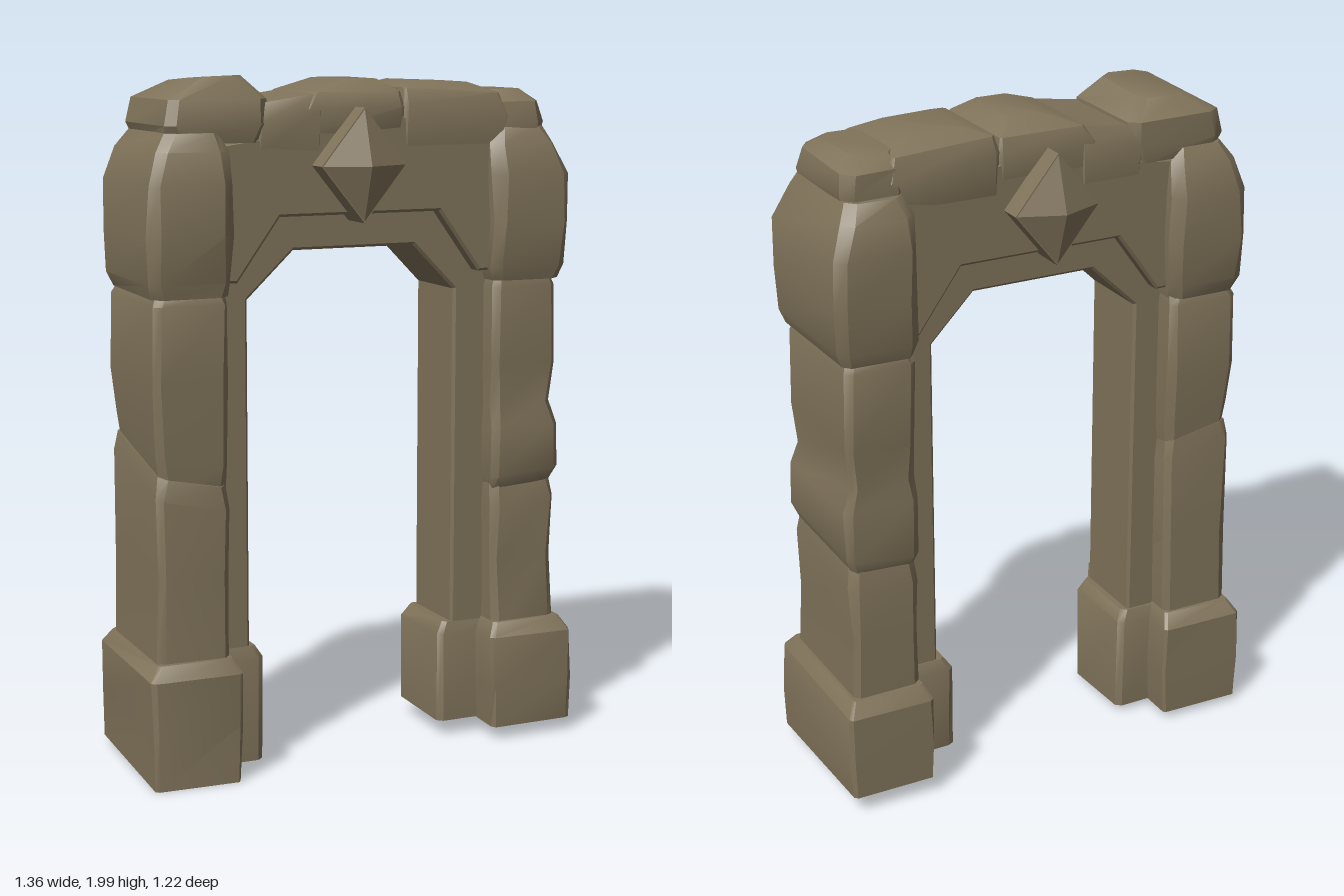
import * as THREE from 'three';
import { toCreasedNormals } from 'three/addons/utils/BufferGeometryUtils.js';

const stone = new THREE.MeshStandardMaterial({ color: 0x80735a });
stone.name = 'brown stone';

let seed = 7;
function jitter(a) {
  seed = (seed * 16807) % 2147483647;
  return (seed / 2147483647 - 0.5) * 2 * a;
}

function part(name, geometry, crease = 0.6) {
  const mesh = new THREE.Mesh(toCreasedNormals(geometry, crease), stone);
  mesh.name = name;
  return mesh;
}

// Worn block lofted through chamfered rectangles.
// level: [y, x0, x1, z0, z1, slope along x, slope along z]
function rock(name, levels, c = 0.02, wear = 0.004) {
  const pos = [], idx = [], n = 8;
  for (const [y, x0, x1, z0, z1, sx = 0, sz = 0] of levels) {
    const ring = [[x1, z1 - c], [x1, z0 + c], [x1 - c, z0], [x0 + c, z0],
      [x0, z0 + c], [x0, z1 - c], [x0 + c, z1], [x1 - c, z1]];
    const cx = (x0 + x1) / 2;
    for (const [x, z] of ring) {
      pos.push(x + jitter(wear), y + sx * (x - cx) + sz * z, z + jitter(wear));
    }
  }
  const last = (levels.length - 1) * n;
  for (let l = 0; l < last; l += n) {
    for (let i = 0; i < n; i++) {
      const j = (i + 1) % n;
      idx.push(l + i, l + j, l + n + j, l + i, l + n + j, l + n + i);
    }
  }
  for (let i = 1; i < n - 1; i++) {
    idx.push(0, i + 1, i, last, last + i, last + i + 1);
  }
  const g = new THREE.BufferGeometry();
  g.setAttribute('position', new THREE.Float32BufferAttribute(pos, 3));
  g.setIndex(idx);
  return part(name, g);
}

// Outline in x/y, extruded evenly to both sides of z = 0
function slab(name, points, halfDepth) {
  const shape = new THREE.Shape(points.map(([x, y]) => new THREE.Vector2(x, y)));
  const bevel = 0.008;
  const g = new THREE.ExtrudeGeometry(shape, {
    depth: 2 * (halfDepth - bevel), bevelEnabled: true, bevelThickness: bevel,
    bevelSize: bevel, bevelOffset: -bevel, bevelSegments: 1
  });
  g.translate(0, 0, -halfDepth + bevel);
  return part(name, g, 0.4);
}

// Diamond boss: square rim with a low pyramid in front
function diamond(name) {
  const group = new THREE.Group();
  group.name = name;
  const rim = new THREE.CylinderGeometry(0.15, 0.15, 0.11, 4).rotateX(Math.PI / 2);
  const tip = new THREE.CylinderGeometry(0, 0.145, 0.05, 4).rotateX(Math.PI / 2);
  rim.scale(0.88, 1.08, 1).translate(0, 0, 0.18);
  tip.scale(0.88, 1.08, 1).translate(0, 0, 0.26);
  group.add(part('diamondRim', rim, 0.3), part('diamondPoint', tip, 0.3));
  return group;
}

export function createModel() {
  const model = new THREE.Group();
  model.name = 'stoneArch';
  const arch = new THREE.Group();
  arch.name = 'arch';
  arch.rotation.y = 0.642;
  model.add(arch);

  // Inner frame following the opening
  arch.add(slab('innerFrame', [[0.19, 1.5], [0.322, 1.365], [0.322, 0.3], [0.46, 0.3], [0.46, 1.64],
    [-0.46, 1.64], [-0.46, 0.3], [-0.333, 0.3], [-0.333, 1.365], [-0.19, 1.5]], 0.12));

  // Lintel with a stepped, chamfered underside
  arch.add(slab('lintel', [[-0.25, 1.6], [0.25, 1.6], [0.38, 1.42], [0.48, 1.42], [0.48, 1.8],
    [0.27, 1.83], [0.1, 1.89], [-0.1, 1.89], [-0.27, 1.83], [-0.48, 1.8], [-0.48, 1.42], [-0.38, 1.42]], 0.167));

  // Piers: the two stand slightly out of line with each other
  const piers = [-1, 1].map((s) => {
    const pier = new THREE.Group();
    pier.name = s < 0 ? 'rightHandPier' : 'leftHandPier';
    pier.rotation.y = s < 0 ? -0.03 : 0;
    pier.position.z = s < 0 ? 0.024 : -0.015;
    arch.add(pier);

    const span = (a, b) => (s > 0 ? [a, b] : [-b, -a]);
    const foot = s < 0 ? 0.014 : 0.05;
    const tilt = s < 0 ? -0.045 : -0.03;
    pier.add(rock('outerFooting', [
      [foot, ...span(0.41, 0.67), -0.253, 0.253, 0, tilt],
      [0.17, ...span(0.405, 0.673), -0.256, 0.256],
      [0.32, ...span(0.405, 0.673), -0.254, 0.254],
      [0.36, ...span(0.425, 0.645), -0.222, 0.222]], 0.01));
    const inner = s < 0 ? 0.297 : 0.278;
    arch.add(rock('innerFooting', [
      [foot + 0.002, ...span(inner, 0.5), -0.138, 0.13, 0, tilt],
      [0.32, ...span(inner - 0.002, 0.5), -0.14, 0.132],
      [0.355, ...span(inner + 0.02, 0.5), -0.125, 0.122]], 0.015, 0.003));

    // Capital blocks, rounded off towards the top
    pier.add(rock('capital', [
      [1.39, ...span(0.42, 0.637), -0.212, 0.212],
      [1.43, ...span(0.412, 0.65), -0.225, 0.225],
      [1.56, ...span(0.412, 0.658), -0.235, 0.235],
      [1.7, ...span(0.412, 0.655), -0.235, 0.235],
      [1.79, ...span(0.415, 0.625), -0.212, 0.212],
      [1.84, ...span(0.43, 0.595), -0.185, 0.185]], 0.028, 0.006));
    return pier;
  });

  // Shaft of two stones meeting on a slanted crack
  piers[0].add(rock('lowerShaft', [
    [0.33, -0.64, -0.425, -0.21, 0.21],
    [0.6, -0.635, -0.425, -0.208, 0.208],
    [0.85, -0.642, -0.42, -0.21, 0.212, -0.2, -0.2],
    [0.91, -0.625, -0.43, -0.2, 0.2, -0.2, -0.2]]));
  piers[0].add(rock('upperShaft', [
    [0.88, -0.62, -0.43, -0.195, 0.195, -0.2, -0.2],
    [0.97, -0.632, -0.425, -0.202, 0.202, -0.2, -0.2],
    [1.15, -0.642, -0.42, -0.21, 0.21],
    [1.37, -0.64, -0.42, -0.212, 0.212],
    [1.4, -0.625, -0.43, -0.2, 0.2]]));

  // Shaft with deeper wear
  piers[1].add(rock('lowerShaft', [
    [0.33, 0.425, 0.637, -0.21, 0.212],
    [0.55, 0.425, 0.63, -0.21, 0.2],
    [0.71, 0.425, 0.637, -0.21, 0.21, 0.1, 0.05],
    [0.78, 0.43, 0.625, -0.2, 0.195, 0.1, 0.05]]));
  piers[1].add(rock('upperShaft', [
    [0.76, 0.43, 0.627, -0.197, 0.2, 0.1, 0.05],
    [0.8, 0.42, 0.642, -0.21, 0.215, 0.1, 0.05],
    [0.95, 0.42, 0.642, -0.21, 0.215],
    [1.02, 0.425, 0.622, -0.2, 0.2],
    [1.14, 0.42, 0.637, -0.21, 0.208],
    [1.37, 0.42, 0.635, -0.212, 0.205],
    [1.4, 0.43, 0.62, -0.2, 0.195]]));

  // Capping stones along the top, nearly flush with the lintel
  arch.add(rock('endCap', [
    [1.81, -0.575, -0.3, -0.17, 0.175],
    [1.86, -0.59, -0.28, -0.18, 0.188],
    [1.93, -0.575, -0.28, -0.17, 0.175],
    [1.985, -0.49, -0.34, -0.11, 0.13, 0.03, 0.06]], 0.03, 0.006));
  arch.add(rock('sideCap', [
    [1.78, -0.32, -0.12, -0.168, 0.168],
    [1.88, -0.32, -0.12, -0.175, 0.175, 0.15],
    [1.93, -0.32, -0.12, -0.15, 0.15, 0.15]], 0.01, 0.003));
  arch.add(rock('middleCap', [
    [1.83, -0.17, 0.134, -0.168, 0.168],
    [1.9, -0.17, 0.134, -0.175, 0.175],
    [1.945, -0.14, 0.128, -0.16, 0.16],
    [1.98, -0.04, 0.07, -0.1, 0.12]], 0.01, 0.003));
  arch.add(rock('sideCap', [
    [1.79, 0.134, 0.46, -0.168, 0.168],
    [1.89, 0.134, 0.47, -0.175, 0.175, -0.12],
    [1.945, 0.14, 0.45, -0.155, 0.155, -0.06],
    [1.97, 0.2, 0.37, -0.1, 0.1, -0.04]], 0.01, 0.003));
  arch.add(rock('endCap', [
    [1.8, 0.42, 0.585, -0.175, 0.165],
    [1.85, 0.41, 0.6, -0.182, 0.172],
    [1.91, 0.41, 0.59, -0.17, 0.16],
    [1.945, 0.42, 0.55, -0.12, 0.11]], 0.03, 0.006));

  // Diamond bosses on both faces
  for (const [name, x, turn] of [['frontDiamond', -0.022, 0], ['backDiamond', -0.012, Math.PI]]) {
    const boss = diamond(name);
    boss.position.set(x, 1.742, 0);
    boss.rotation.y = turn;
    arch.add(boss);
  }
  return model;
}
